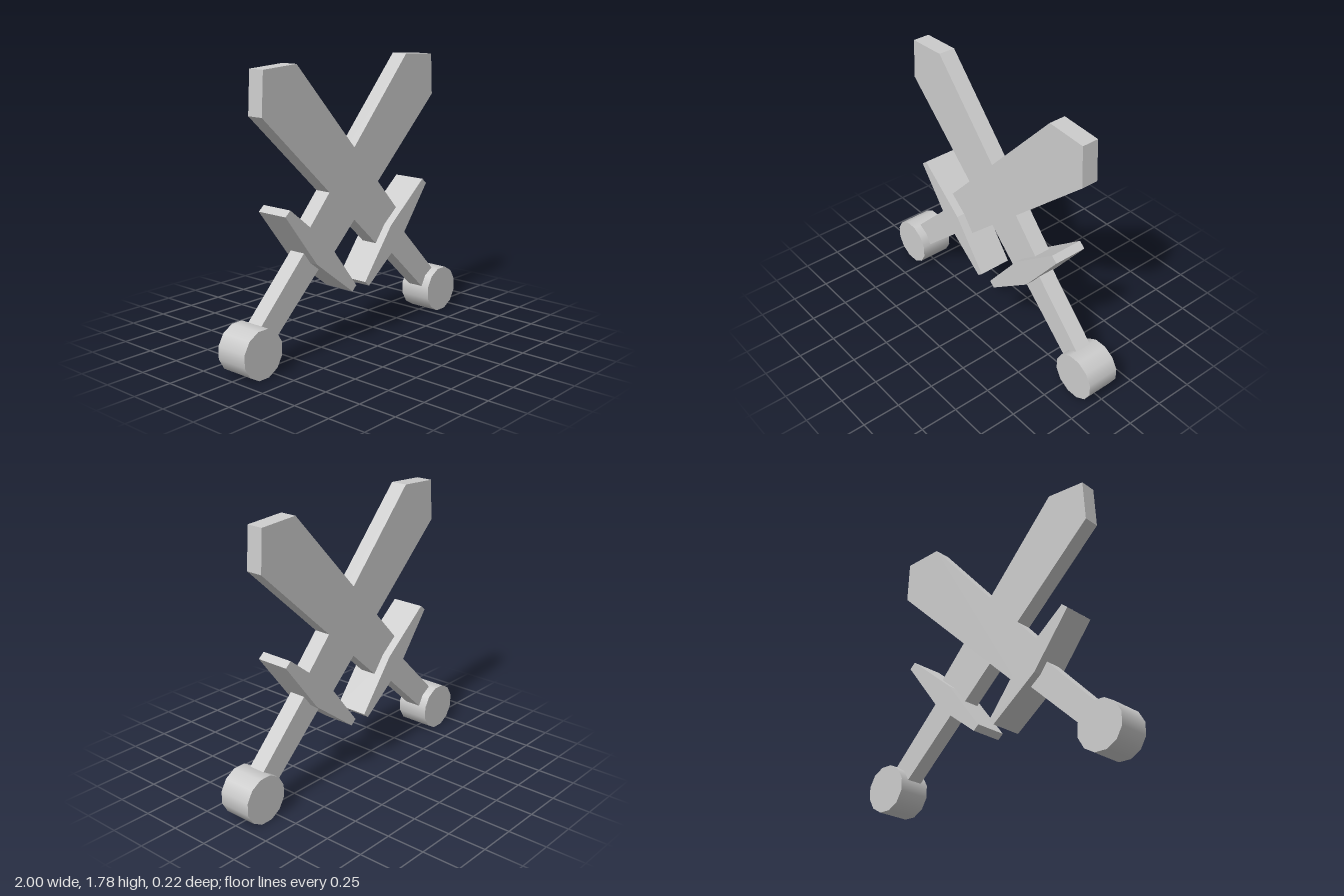
import * as THREE from 'three';

const material = new THREE.MeshStandardMaterial({ color: 0xcccccc });

// Flat outline extruded to a depth centred on z = 0; side = -1 mirrors it in x
function plate(name, outline, depth, side) {
  const shape = new THREE.Shape(outline.map(([x, y]) => new THREE.Vector2(x * side, y)));
  const geometry = new THREE.ExtrudeGeometry(shape, { depth, bevelEnabled: false });
  geometry.translate(0, 0, -depth / 2);
  const mesh = new THREE.Mesh(geometry, material);
  mesh.name = name;
  return mesh;
}

const THIN = 0.11, THICK = 0.22;

// Outlines of the sword that leans towards +x
const blade = [[0.5, 1.785], [-0.435, 0.77], [-0.235, 0.568], [0.78, 1.505], [0.765, 1.77]];
const guard = [[-0.62, 0.96], [-0.66, 0.926], [-0.4, 0.59], [-0.08, 0.348], [-0.043, 0.38], [-0.294, 0.7]];
const handle = [[-0.415, 0.7], [-0.85, 0.26], [-0.745, 0.15], [-0.29, 0.57]];

function createSword(side) {
  const sword = new THREE.Group();
  sword.name = side > 0 ? 'swordLeaningLeft' : 'swordLeaningRight';
  sword.add(
    plate('blade', blade, THIN, side),
    plate('crossGuard', guard, THICK, side),
    plate('handle', handle, THIN, side),
  );

  // Twelve-sided pommel with its axis along z, resting on a flat
  const geometry = new THREE.CylinderGeometry(0.154, 0.154, THICK, 12);
  geometry.rotateY(Math.PI / 12).rotateX(Math.PI / 2);
  const pommel = new THREE.Mesh(geometry, material);
  pommel.name = 'pommel';
  pommel.position.set(-0.851 * side, 0.149, 0);
  sword.add(pommel);
  return sword;
}

export function createModel() {
  const model = new THREE.Group();
  model.name = 'crossedSwords';
  for (const side of [1, -1]) model.add(createSword(side));
  return model;
}
